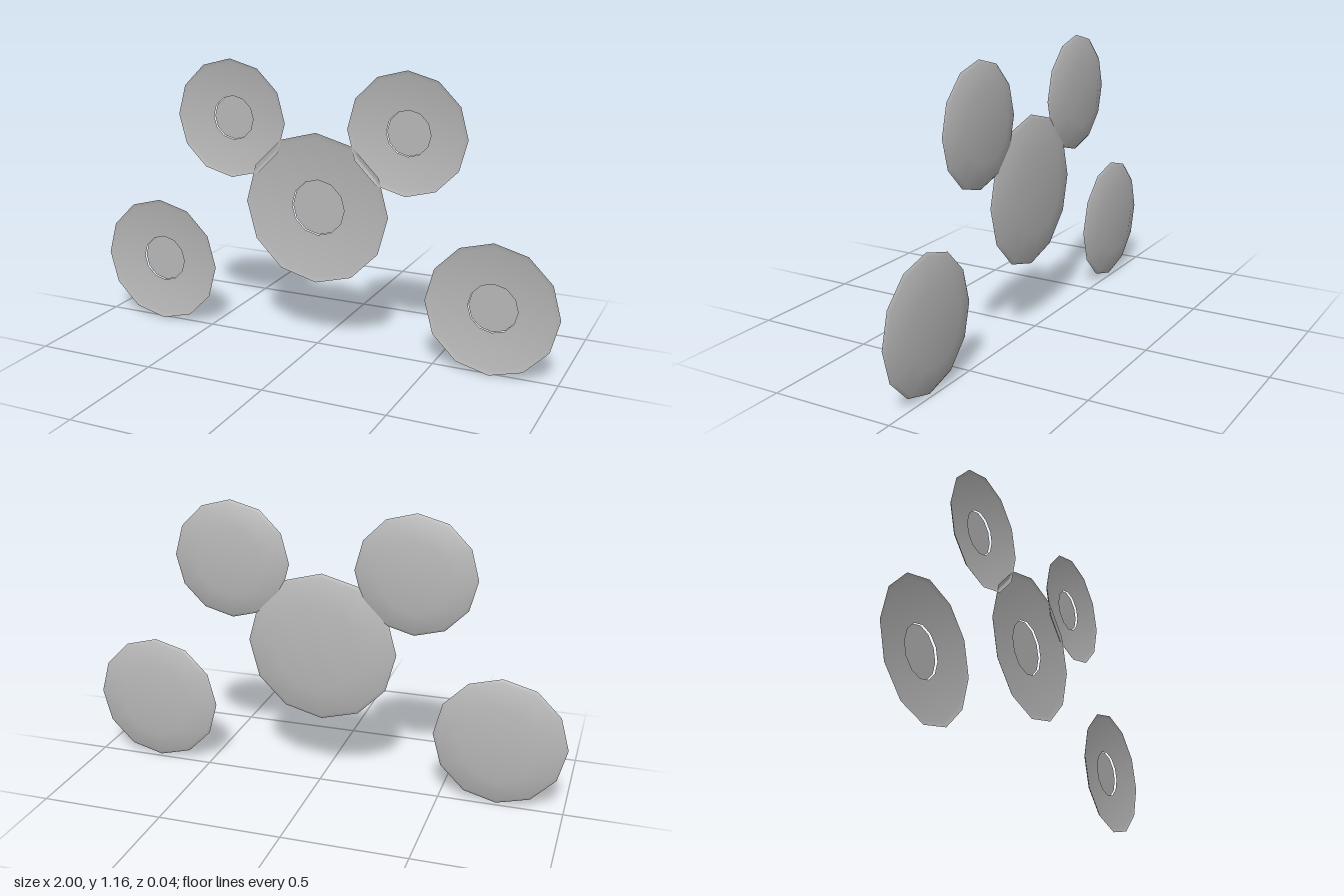
import * as THREE from 'three';

const SEGMENTS = 12;
const HALF = 0.018; // half the depth of every dish

// Lathe around the z axis from [radius, z] pairs, listed from back to front
function turned(name, profile, material) {
  const geometry = new THREE.LatheGeometry(profile.map(([r, z]) => new THREE.Vector2(r, z)), SEGMENTS);
  geometry.rotateX(Math.PI / 2);
  const mesh = new THREE.Mesh(geometry, material);
  mesh.name = name;
  return mesh;
}

// Shallow twelve-sided dish, open to the front, with a sunken round well
function dish(name, x, y, r, material) {
  const group = new THREE.Group();
  group.name = name;
  const well = r * 0.37;
  group.add(
    turned('dishBack', [[0, -HALF], [r * 0.58, -HALF], [r * 0.95, 0.009], [r, HALF]], material),
    turned('dishBowl', [[r, HALF], [r * 0.93, 0.012], [r * 0.6, 0], [well, -0.004]], material),
    turned('wellWall', [[well, -0.004], [well, -0.013]], material),
    turned('wellFloor', [[well, -0.013], [0, -0.013]], material)
  );
  // The well wall faces the axis
  group.children[2].geometry.index.array.reverse();
  group.children[2].geometry.computeVertexNormals();
  group.position.set(x, y, 0);
  return group;
}

export function createModel() {
  const model = new THREE.Group();
  model.name = 'dishCluster';
  const grey = new THREE.MeshStandardMaterial({ color: 0xb8b8b8 });
  grey.name = 'grey';

  model.add(dish('centreDish', 0, 0.58, 0.309, grey));
  for (const [side, s] of [['left', 1], ['right', -1]]) {
    model.add(dish(side + 'UpperDish', s * 0.377, 0.915, 0.243, grey));
    model.add(dish(side + 'LowerDish', s * 0.733, 0.267, 0.267, grey));
  }
  return model;
}
